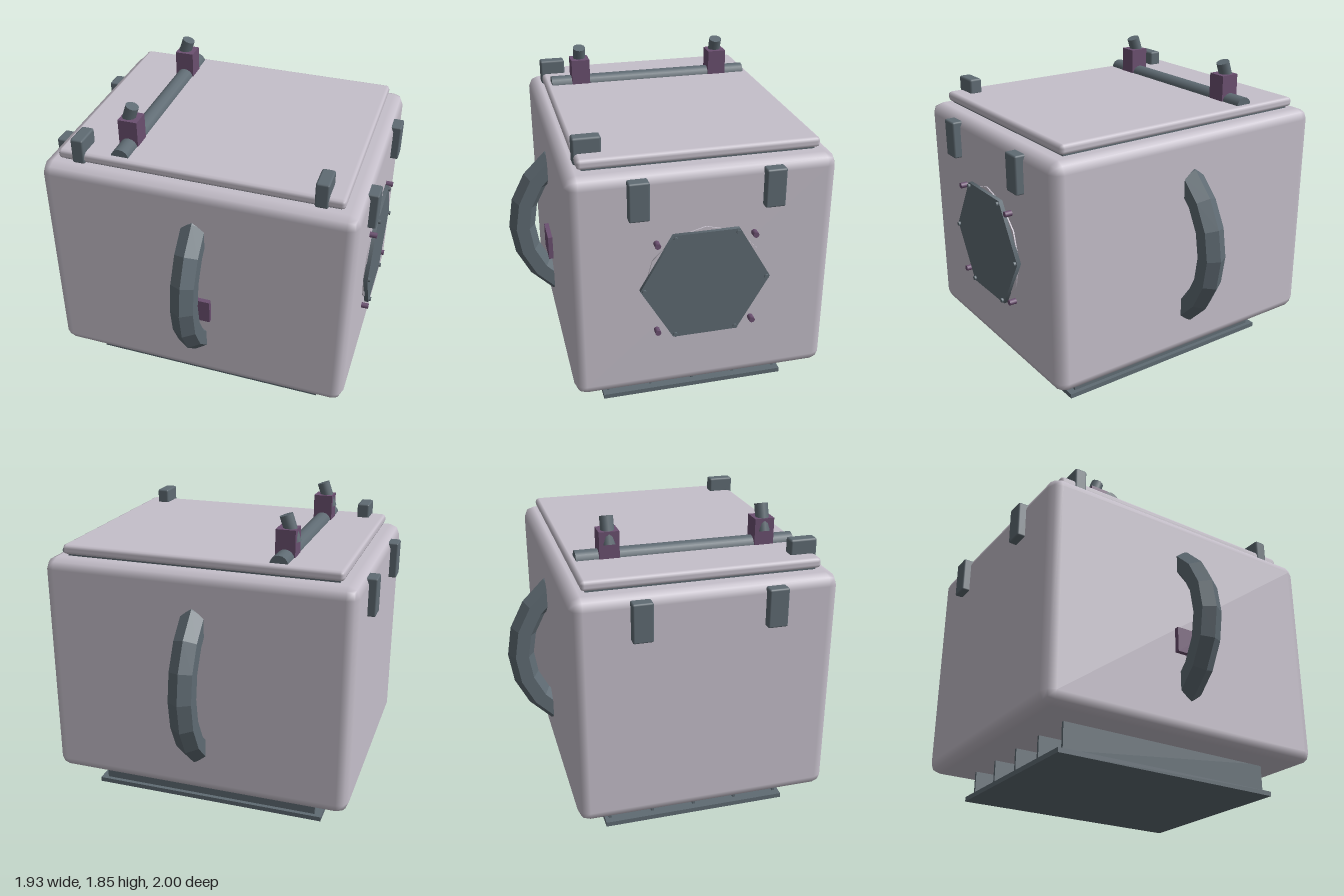
import * as THREE from 'three';
import { RoundedBoxGeometry } from 'three/addons/geometries/RoundedBoxGeometry.js';

const material = (name, color) => {
  const m = new THREE.MeshStandardMaterial({ color });
  m.name = name;
  return m;
};

// Unshared corners with face normals, for the faceted parts
const faceted = (geometry) => {
  const g = geometry.toNonIndexed();
  g.computeVertexNormals();
  return g;
};

export function createModel() {
  const model = new THREE.Group();
  model.name = 'storageContainer';
  const shell = material('paleShell', 0xc5bfca);
  const steel = material('blueGreySteel', 0x5f6b73);
  const plum = material('plumFittings', 0x6b5070);

  const add = (name, geometry, mat, x = 0, y = 0, z = 0) => {
    const mesh = new THREE.Mesh(geometry, mat);
    mesh.name = name;
    mesh.position.set(x, y, z);
    model.add(mesh);
    return mesh;
  };
  // Box given by its ranges; r > 0 rounds the edges
  const box = (name, mat, [x0, x1], [y0, y1], [z0, z1], r = 0) => {
    const w = x1 - x0, h = y1 - y0, d = z1 - z0;
    const g = r ? new RoundedBoxGeometry(w, h, d, 1, r) : new THREE.BoxGeometry(w, h, d);
    return add(name, g, mat, (x0 + x1) / 2, (y0 + y1) / 2, (z0 + z1) / 2);
  };
  // Cylinder lying along x from x0 to x1
  const sideDisc = (name, mat, radius, x0, x1, y, z, sides) => {
    const g = new THREE.CylinderGeometry(radius, radius, x1 - x0, sides).rotateZ(-Math.PI / 2);
    return add(name, g, mat, (x0 + x1) / 2, y, z);
  };

  // Body, lid and the seal between them
  box('body', shell, [-0.917, 0.917], [0.185, 1.545], [-0.747, 0.747], 0.065);
  box('lidSeal', steel, [-0.8, 0.8], [1.53, 1.57], [-0.645, 0.645]);
  box('lid', shell, [-0.825, 0.825], [1.555, 1.614], [-0.672, 0.672], 0.022);

  // Base plate carried on upright ribs
  box('basePlate', steel, [-0.73, 0.73], [0, 0.028], [-0.558, 0.558]);
  for (let i = -2; i <= 2; i++) {
    const z = i * 0.2625;
    box('baseRib', steel, [-0.688, 0.688], [0.025, 0.195], [z - 0.008, z + 0.008]);
  }

  // Curved handles, front and back, with their ends inside the body
  const arc = Math.PI * 0.8;
  const handle = faceted(new THREE.TorusGeometry(0.51, 0.08, 6, 8, arc)
    .rotateZ(-arc / 2).rotateY(-Math.PI / 2));
  add('frontHandle', handle, steel, 0, 0.86, 0.41);
  add('backHandle', handle, steel, 0, 0.86, -0.41).rotation.y = Math.PI;
  box('frontPlate', plum, [-0.1, 0.1], [0.65, 0.8], [0.74, 0.775]);

  for (const s of [-1, 1]) {
    // Hooked latches on the front edge of the lid
    const x = s * 0.697;
    box('latchTop', steel, [x - 0.038, x + 0.038], [1.605, 1.7], [0.522, 0.678], 0.012);
    box('latchLeg', steel, [x - 0.038, x + 0.038], [1.548, 1.69], [0.63, 0.678], 0.012);

    // Brackets high on both sides
    for (const z of [-0.376, 0.373]) {
      const xs = s < 0 ? [-0.964, -0.876] : [0.876, 0.964];
      box('sideBracket', steel, xs, [1.293, 1.516], [z - 0.057, z + 0.057], 0.01);
    }

    // Valve blocks with tilted caps
    const z = s * 0.45;
    box('valveBlock', plum, [-0.517, -0.403], [1.612, 1.767], [z - 0.057, z + 0.057]);
    add('valveCap', new THREE.CylinderGeometry(0.039, 0.039, 0.16, 12),
      steel, -0.473, 1.762, z).rotation.z = -0.33;
  }

  // Pipe lying along the lid
  add('lidPipe', new THREE.CylinderGeometry(0.053, 0.053, 1.27, 16).rotateX(Math.PI / 2),
    steel, -0.46, 1.605, 0);

  // Hexagonal hatch on a round seat, with corner bolts and four pegs
  sideDisc('hatchSeat', shell, 0.345, 0.9, 0.925, 0.86, 0, 12);
  sideDisc('hatch', steel, 0.372, 0.922, 0.947, 0.86, 0, 6);
  for (let i = 0; i < 6; i++) {
    const a = (i * Math.PI) / 3;
    sideDisc('hatchBolt', steel, 0.013, 0.94, 0.96, 0.86 + 0.35 * Math.sin(a), 0.35 * Math.cos(a), 8);
  }
  for (const sy of [-1, 1]) for (const sz of [-1, 1])
    sideDisc('hatchPeg', plum, 0.017, 0.9, 0.96, 0.86 + sy * 0.275, sz * 0.275, 10);

  return model;
}
